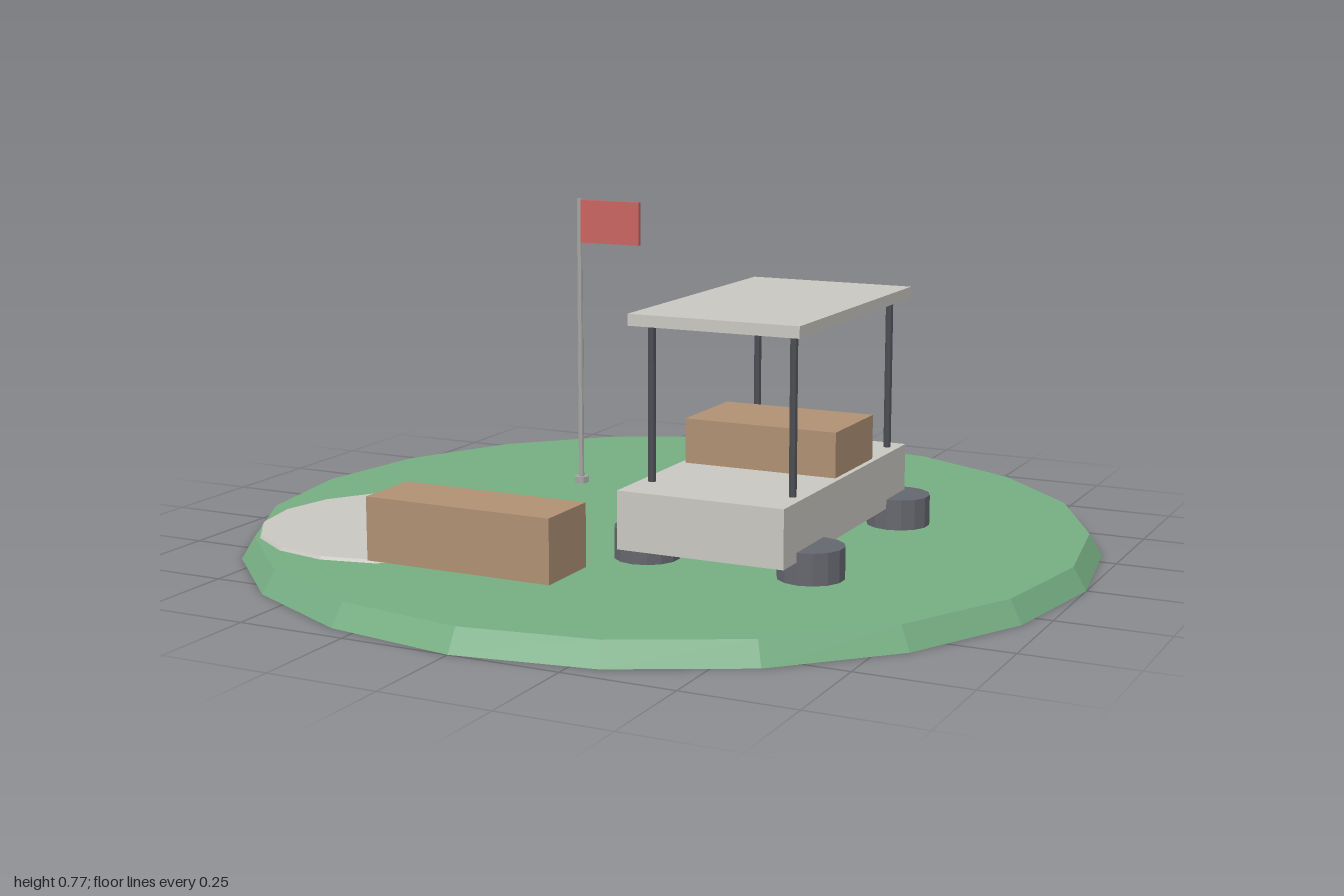
import * as THREE from 'three';

const mat = (name, color) => {
  const m = new THREE.MeshStandardMaterial({ color });
  m.name = name;
  m.flatShading = true;
  return m;
};

export function createModel() {
  const grass = mat('grass green', 0x76ad82);
  const pale = mat('pale stone', 0xc9c7c1);
  const wood = mat('tan wood', 0xb09074);
  const rubber = mat('dark rubber', 0x65676e);
  const postGrey = mat('dark metal', 0x4a4d52);
  const poleGrey = mat('pole grey', 0xa5a5a3);
  const red = mat('flag red', 0xc86460);

  const model = new THREE.Group();
  model.name = 'golfGreen';

  const add = (parent, name, geometry, material, x, y, z) => {
    const mesh = new THREE.Mesh(geometry, material);
    mesh.name = name;
    mesh.position.set(x, y, z);
    parent.add(mesh);
  };
  // Box given by its lower and upper limits on each axis
  const box = (parent, name, material, [x0, x1], [y0, y1], [z0, z1]) =>
    add(parent, name, new THREE.BoxGeometry(x1 - x0, y1 - y0, z1 - z0), material,
      (x0 + x1) / 2, (y0 + y1) / 2, (z0 + z1) / 2);
  // Upright cylinder between two heights
  const post = (parent, name, material, rTop, rBottom, sides, x, z, y0, y1) =>
    add(parent, name, new THREE.CylinderGeometry(rTop, rBottom, y1 - y0, sides), material,
      x, (y0 + y1) / 2, z);

  // Ground and sand patch
  post(model, 'ground', grass, 0.97, 1, 20, 0, 0, 0, 0.05);
  post(model, 'sandPatch', pale, 0.325, 0.345, 16, -0.535, 0.34, 0.02, 0.057);

  // Bench block beside the sand
  box(model, 'bench', wood, [-0.415, 0.038], [0.06, 0.203], [0.498, 0.66]);

  // Cart
  const cart = new THREE.Group();
  cart.name = 'cart';
  model.add(cart);
  box(cart, 'body', pale, [0.1, 0.488], [0.1, 0.23], [-0.25, 0.472]);
  box(cart, 'seat', wood, [0.112, 0.476], [0.23, 0.332], [-0.065, 0.16]);
  box(cart, 'roof', pale, [0.095, 0.493], [0.577, 0.603], [-0.255, 0.41]);
  for (const side of [-1, 1]) {
    for (const z of [-0.203, 0.328])
      post(cart, 'wheel', rubber, 0.074, 0.074, 14, 0.295 + side * 0.195, z, 0.05, 0.121);
    for (const z of [-0.203, 0.36])
      post(cart, 'roofPost', postGrey, 0.009, 0.009, 8, 0.294 + side * 0.166, z, 0.23, 0.577);
  }

  // Flag and pole
  const flag = new THREE.Group();
  flag.name = 'flagPole';
  model.add(flag);
  post(flag, 'poleFoot', poleGrey, 0.018, 0.018, 8, -0.38, -0.252, 0.05, 0.066);
  post(flag, 'pole', poleGrey, 0.007, 0.007, 8, -0.38, -0.252, 0.05, 0.77);
  box(flag, 'flag', red, [-0.376, -0.213], [0.662, 0.768], [-0.257, -0.247]);

  return model;
}
